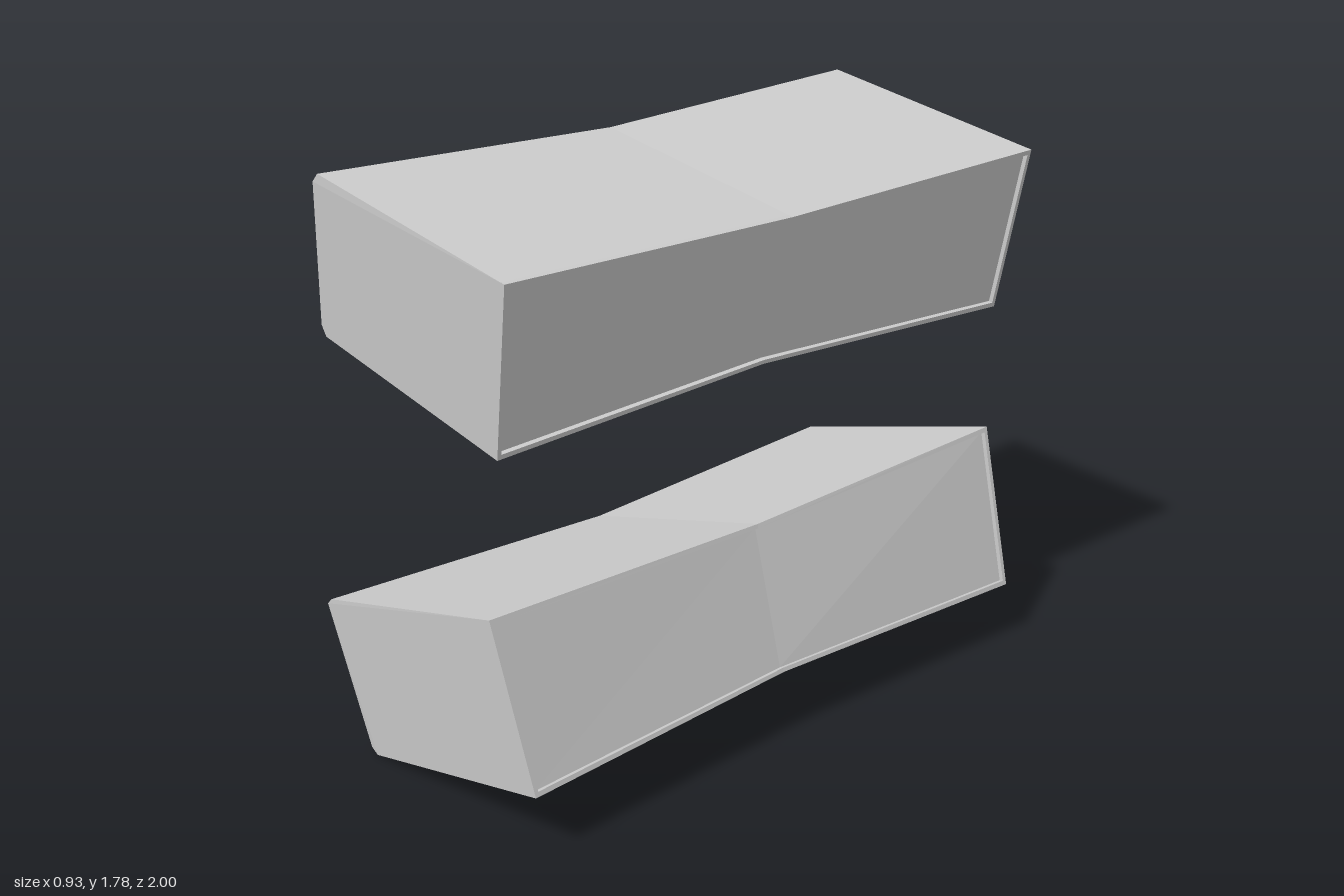
import * as THREE from 'three';

const mat = new THREE.MeshStandardMaterial({ color: 0xcccccc, flatShading: true });

// Cabinet sections at z = -1, 0, 1, clockwise seen from +z:
// 0,1 upper baffle chamfer, 2 top right, 3 bottom right, 4,5 lower baffle chamfer
const upper = [
  [[-.38, 1.75], [-.36, 1.78], [.453, 1.647], [.345, 1.127], [-.43, 1.27], [-.45, 1.3]],
  [[-.36, 1.71], [-.335, 1.735], [.43, 1.608], [.325, 1.16], [-.405, 1.295], [-.425, 1.325]],
  [[-.38, 1.725], [-.355, 1.75], [.453, 1.622], [.345, 1.127], [-.43, 1.27], [-.45, 1.3]],
];
const lower = [
  [[-.465, .467], [-.443, .5], [.344, .72], [.462, .2], [-.302, .01], [-.33, .02]],
  [[-.435, .435], [-.415, .455], [.31, .66], [.43, .22], [-.285, .035], [-.31, .045]],
  [[-.455, .455], [-.435, .475], [.338, .69], [.462, .198], [-.302, 0], [-.33, .015]],
];
const FRONT_LOW = 0.96; // the front end leans back towards its lower edge

function mesh(name, geo) {
  const g = geo.index ? geo.toNonIndexed() : geo;
  g.computeVertexNormals();
  const m = new THREE.Mesh(g, mat);
  m.name = name;
  return m;
}

// Point on long edge i of the cabinet at position z
function edgePoint(sections, i, z) {
  const p = (k) => new THREE.Vector3(...sections[k][i], k === 2 ? (i < 3 ? 1 : FRONT_LOW) : k - 1);
  return z < 0 ? p(1).lerp(p(0), -z) : p(1).lerp(p(2), z);
}

// Maps flat coordinates (along z, across the face, outwards) onto the face between edges i and j
function facePatch(sections, i, j) {
  const length = edgePoint(sections, i, 0).distanceTo(edgePoint(sections, j, 0));
  const onto = (geo) => {
    const pos = geo.attributes.position;
    for (let k = 0; k < pos.count; k++) {
      const z = pos.getX(k), y = pos.getY(k), d = pos.getZ(k);
      const a = edgePoint(sections, i, z), e = edgePoint(sections, j, z).sub(a);
      const n = new THREE.Vector3(-e.y, e.x, 0).normalize();
      a.addScaledVector(e, .5 + y / length).addScaledVector(n, d);
      pos.setXYZ(k, a.x, a.y, a.z);
    }
    return geo;
  };
  return { onto, half: length / 2 };
}

const polygon = (pts) => new THREE.Shape(pts.map((p) => new THREE.Vector2(...p)));
const rect = (x0, x1, y0, y1) => polygon([[x0, y0], [x1, y0], [x1, y1], [x0, y1]]);
const octagon = (cx, r) => new THREE.Path(Array.from({ length: 8 }, (_, k) => {
  const a = (k + .5) * Math.PI / 4;
  return new THREE.Vector2(cx + r * Math.cos(a), r * Math.sin(a));
}));
const slab = (shape, d0, d1) =>
  new THREE.ExtrudeGeometry(shape, { depth: d1 - d0, bevelEnabled: false }).translate(0, 0, d0);

// Eight-sided turned part whose axis points out of the face
function turned(profile, x, y = 0) {
  return new THREE.LatheGeometry(profile.map((p) => new THREE.Vector2(...p)), 8, Math.PI / 8)
    .rotateX(Math.PI / 2).translate(x, y, 0);
}

// Top, bottom, chamfers and both end caps
function shell(sections) {
  const v = [];
  const put = (...pts) => pts.forEach((p) => v.push(p.x, p.y, p.z));
  const P = (i, z) => edgePoint(sections, i, z);
  for (const [i, j] of [[0, 1], [1, 2], [3, 4], [4, 5]]) {
    for (const z of [-1, 0]) {
      const a = P(i, z), b = P(i, z + 1), c = P(j, z + 1), d = P(j, z);
      put(a, b, c, a, c, d);
    }
  }
  for (let i = 1; i < 5; i++) {
    put(P(0, 1), P(i + 1, 1), P(i, 1));
    put(P(0, -1), P(i, -1), P(i + 1, -1));
  }
  return new THREE.BufferGeometry().setAttribute('position', new THREE.Float32BufferAttribute(v, 3));
}

const PORT = -.57, DRIVERS = [.2, .61], TWEETER = .81;

function speaker(name, sections) {
  const g = new THREE.Group();
  g.name = name;
  g.add(mesh('cabinet', shell(sections)));

  // Baffle in two halves, with openings
  const baffle = facePatch(sections, 5, 0), h = baffle.half;
  const portHalf = rect(-1, 0, -h, h), driverHalf = rect(0, 1, -h, h);
  const plate = rect(0, .89, -.145, .145);
  portHalf.holes.push(octagon(PORT, .125));
  for (const s of [driverHalf, plate]) {
    s.holes.push(...DRIVERS.map((z) => octagon(z, .12)), octagon(TWEETER, .03));
  }
  for (const s of [portHalf, driverHalf]) {
    g.add(mesh('baffle', baffle.onto(new THREE.ShapeGeometry(s))));
  }
  g.add(mesh('driverPlate', baffle.onto(slab(plate, 0, .016))));

  // Bass port
  g.add(mesh('port', baffle.onto(turned(
    [[.138, 0], [.138, .006], [.12, .006], [.098, -.12], [0, -.12]], PORT))));

  // Drivers: rim, cone and dust cap
  for (const z of DRIVERS) {
    g.add(mesh('driver', baffle.onto(turned(
      [[.134, .016], [.134, .022], [.115, .022], [.075, -.05], [.058, -.055], [.045, -.035], [0, -.02]], z))));
  }
  g.add(mesh('smallDriver', baffle.onto(turned(
    [[.036, .016], [.036, .02], [.03, .02], [.02, -.02], [0, -.02]], TWEETER))));

  // Rear panel set inside a thin rim
  const rear = facePatch(sections, 2, 3), r = rear.half, t = .013, depth = .014;
  for (const s of [1, -1]) {
    const rim = polygon([[0, -r], [s, -r], [s, r], [0, r], [0, r - t],
      [s * (1 - t), r - t], [s * (1 - t), -r + t], [0, -r + t]]);
    g.add(mesh('rearRim', rear.onto(slab(rim, -depth, 0))));
  }
  g.add(mesh('rearPanel', rear.onto(
    new THREE.PlaneGeometry(2 - 2 * t, 2 * (r - t), 2, 1).translate(0, 0, -depth))));
  return g;
}

// Framed control plate with knobs and sockets, on the underside
function controls(sections) {
  const g = new THREE.Group();
  g.name = 'controlPanel';
  const under = facePatch(sections, 3, 4);
  const y0 = -.07, y1 = .24, w = .018;
  const frame = rect(.01, .66, y0, y1);
  frame.holes.push(rect(.01 + w, .66 - w, y0 + w, y1 - w));
  g.add(mesh('frame', under.onto(slab(frame, 0, .01))));
  g.add(mesh('plate', under.onto(slab(rect(.01 + w, .66 - w, y0 + w, y1 - w), 0, .003))));
  for (const z of [.22, .4]) {
    g.add(mesh('knob', under.onto(turned([[.028, 0], [.024, .038], [0, .038]], z, -.02))));
  }
  for (const z of [.29, .36, .43]) {
    for (const y of [.11, .155]) {
      g.add(mesh('socket', under.onto(turned([[.014, 0], [.014, .012], [0, .012]], z, y))));
    }
  }
  return g;
}

export function createModel() {
  const model = new THREE.Group();
  model.name = 'speakerPair';
  const top = speaker('upperSpeaker', upper);
  top.add(controls(upper));
  model.add(top, speaker('lowerSpeaker', lower));
  return model;
}
